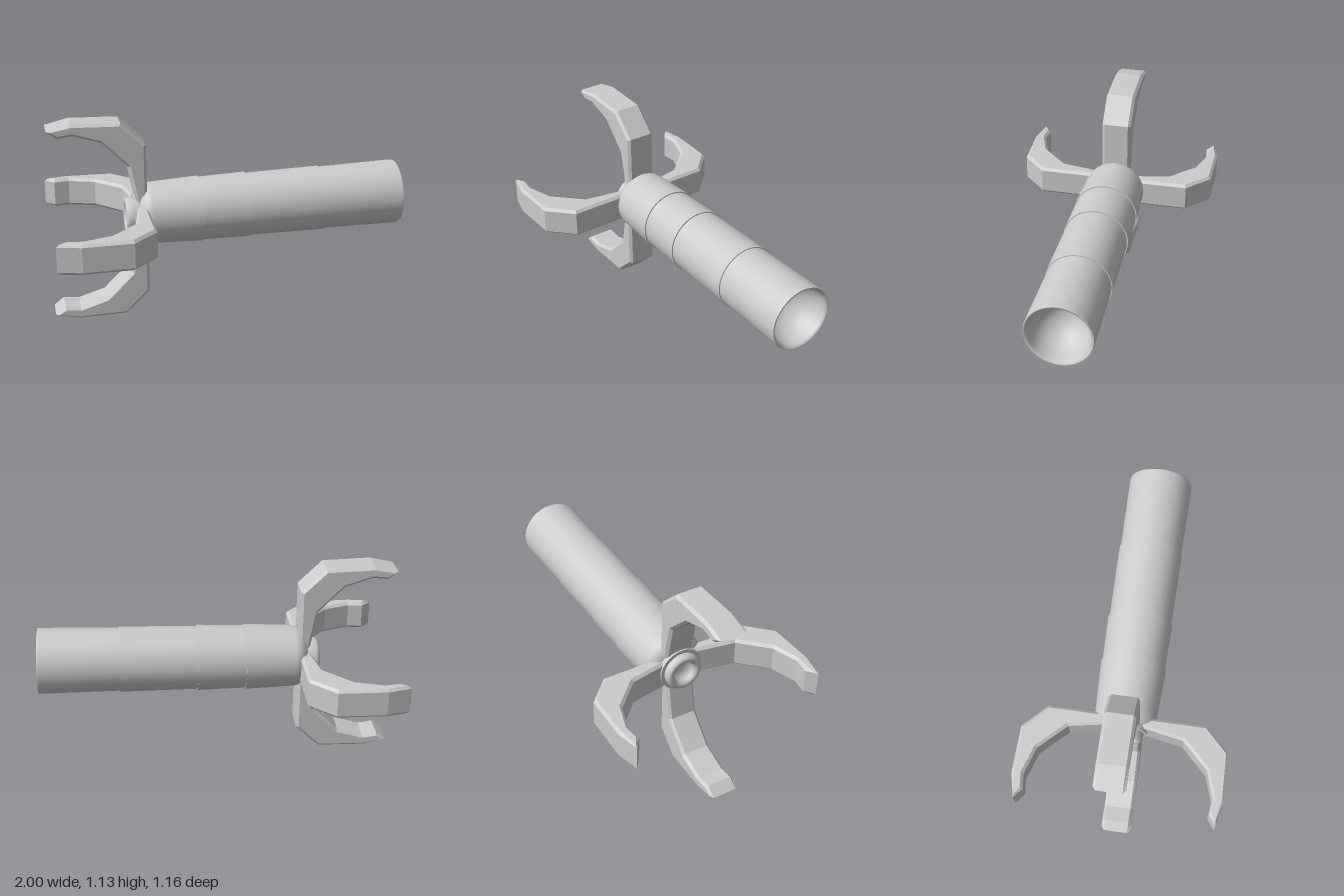
import * as THREE from 'three';

const grey = new THREE.MeshStandardMaterial({ color: 0xcccccc });
const greyDouble = new THREE.MeshStandardMaterial({ color: 0xcccccc, side: THREE.DoubleSide });

// Surface of revolution around the x axis; each profile is [x, radius] pairs.
// Separate profiles keep the edge between them sharp.
function turned(name, ...profiles) {
  const group = new THREE.Group();
  group.name = name;
  for (const profile of profiles) {
    const geometry = new THREE.LatheGeometry(profile.map(([x, r]) => new THREE.Vector2(r, x)), 48);
    geometry.rotateZ(-Math.PI / 2);
    const mesh = new THREE.Mesh(geometry, greyDouble);
    mesh.name = name;
    group.add(mesh);
  }
  return group;
}

// Hooked claw finger: side outline in (x, distance from axis), extruded with chamfers
function clawGeometry() {
  const outline = [
    [-0.465, 0.03], [-0.465, 0.43], [-0.6, 0.56], [-0.87, 0.567], [-1, 0.535], [-0.945, 0.492],
    [-0.86, 0.502], [-0.71, 0.455], [-0.565, 0.31], [-0.53, 0.12], [-0.515, 0.03],
  ];
  const shape = new THREE.Shape(outline.map(([x, y]) => new THREE.Vector2(x, y)).reverse());
  const bevel = 0.015, width = 0.168;
  const geometry = new THREE.ExtrudeGeometry(shape, {
    depth: width - 2 * bevel, bevelEnabled: true, bevelSegments: 1,
    bevelSize: bevel, bevelThickness: bevel, bevelOffset: -bevel,
  });
  geometry.translate(0, 0, -width / 2 + bevel);
  return geometry;
}

export function createModel() {
  const model = new THREE.Group();

  // Forearm, slightly tilted along its length
  const arm = new THREE.Group();
  arm.name = 'forearm';
  arm.position.set(0, 0.585, -0.016);
  arm.rotation.z = 0.018;
  model.add(arm);

  // Sleeve sections: each widens a little toward a stepped edge
  const sleeves = [
    [-0.16, 0.11, 0.178, 0.185],
    [0.11, 0.545, 0.178, 0.184],
  ];
  arm.add(turned('wristSleeve',
    [[-0.515, 0], [-0.515, 0.1], [-0.505, 0.13], [-0.49, 0.152], [-0.465, 0.168], [-0.44, 0.173], [-0.16, 0.185]],
    [[-0.16, 0.185], [-0.16, 0.17]]));
  for (const [x0, x1, r0, r1] of sleeves)
    arm.add(turned('sleeve', [[x0, r0], [x1, r1]], [[x1, r1], [x1, 0.17]]));
  arm.add(turned('endSleeve', [[0.545, 0.178], [0.985, 0.185], [0.997, 0.182]]));

  // Rounded rim and concave socket in the open end
  const bowl = [[0.997, 0.182], [0.997, 0.174], [0.985, 0.166]];
  for (let i = 1; i <= 10; i++) {
    const a = (i / 10) * Math.PI / 2;
    bowl.push([0.985 - 0.2 * Math.sin(a), 0.166 * Math.cos(a)]);
  }
  arm.add(turned('endSocket', bowl));

  // Stepped hub with a recessed centre between the claws
  const hub = turned('hub',
    [[-0.5, 0.125], [-0.54, 0.125]],
    [[-0.54, 0.125], [-0.54, 0.105]],
    [[-0.54, 0.105], [-0.565, 0.105], [-0.58, 0.098], [-0.585, 0.085], [-0.58, 0.07], [-0.565, 0.062]],
    [[-0.565, 0.062], [-0.53, 0.058], [-0.53, 0]]);
  hub.position.set(0, 0.568, -0.01);
  model.add(hub);

  // Four claws around the hub: [name, quarter turns, y, z, reach]
  const claws = [
    ['topClaw', 0, 0.567, -0.016, 1],
    ['frontClaw', 1, 0.567, 0, 1.02],
    ['bottomClaw', 2, 0.567, -0.005, 1],
    ['backClaw', 3, 0.555, 0, 1.025],
  ];
  const geometry = clawGeometry();
  for (const [name, turns, y, z, reach] of claws) {
    const claw = new THREE.Mesh(geometry, grey);
    claw.name = name;
    claw.rotation.x = turns * Math.PI / 2;
    claw.position.set(0, y, z);
    claw.scale.y = reach;
    model.add(claw);
  }
  return model;
}
